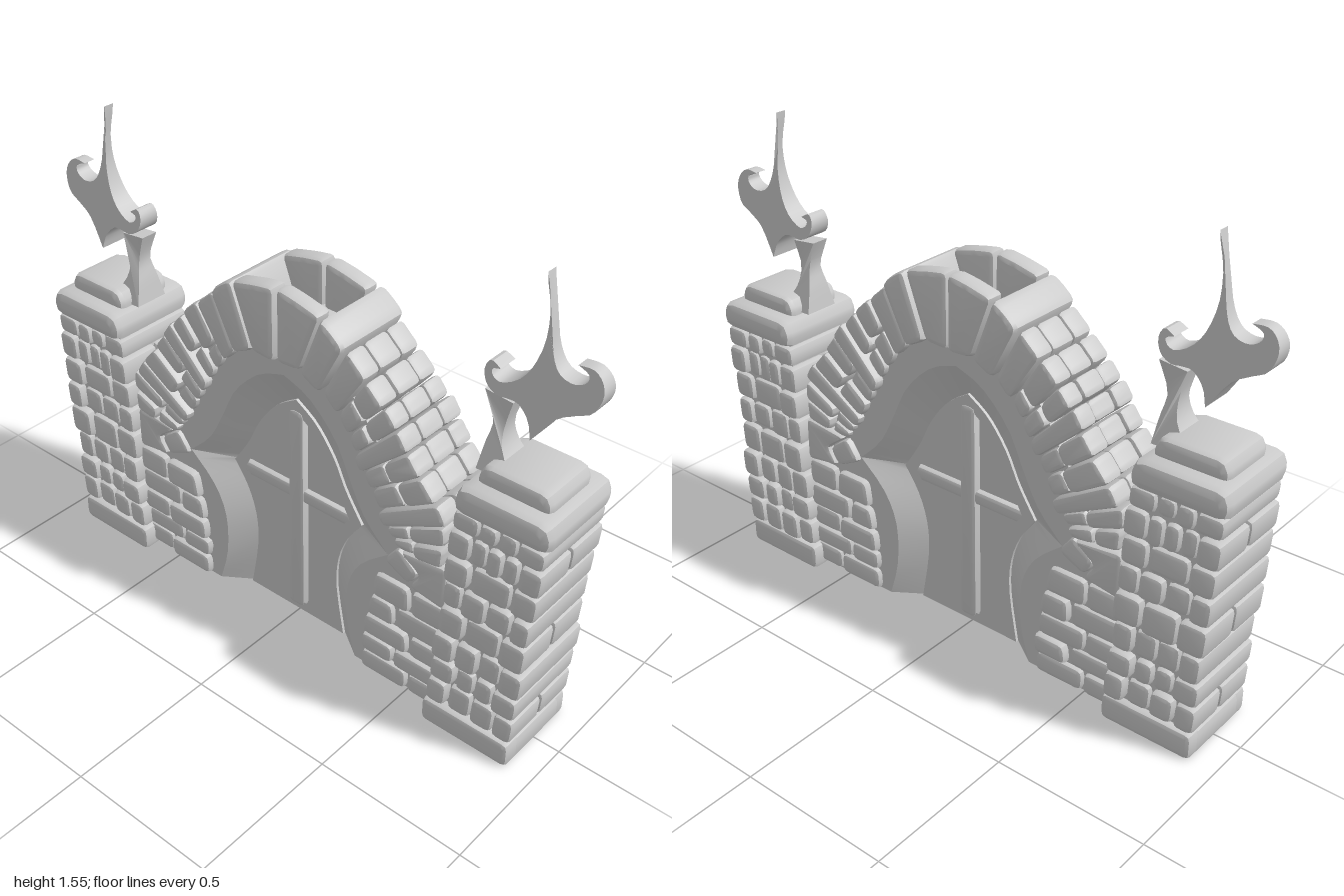
import * as THREE from 'three';
import { toCreasedNormals } from 'three/addons/utils/BufferGeometryUtils.js';

const stoneMat = new THREE.MeshStandardMaterial({ color: 0xcccccc });
const thinMat = new THREE.MeshStandardMaterial({ color: 0xcccccc, side: THREE.DoubleSide });
const V = (p) => new THREE.Vector2(p[0], p[1]);

let seed = 7;
const jitter = (a) => {
  seed = (seed * 16807) % 2147483647;
  return (seed / 2147483647 - 0.5) * 2 * a;
};

function add(parent, name, geo, mat = stoneMat, crease = 0.7) {
  const mesh = new THREE.Mesh(toCreasedNormals(geo, crease), mat);
  mesh.name = name;
  parent.add(mesh);
  return mesh;
}

function group(parent, name) {
  const g = new THREE.Group();
  g.name = name;
  parent.add(g);
  return g;
}

// Pillow-edged stone: a polygon in x/y with rounded corners, between z0 and z1
function stone(parent, name, pts, z0, z1, s = 1, b = 0.014, r = 0.02) {
  const c = pts.reduce((m, p) => m.add(V(p)), new THREE.Vector2()).divideScalar(pts.length);
  const q = pts.map((p) => {
    const v = V(p), d = v.clone().sub(c);
    v.sub(d.setLength(0.004));
    return v.set(v.x * s, v.y);
  });
  const shape = new THREE.Shape();
  q.forEach((p, i) => {
    const toward = (o) => o.clone().sub(p).setLength(Math.min(r, o.distanceTo(p) * 0.4)).add(p);
    const a = toward(q[(i + q.length - 1) % q.length]);
    const e = toward(q[(i + 1) % q.length]);
    if (i) shape.lineTo(a.x, a.y); else shape.moveTo(a.x, a.y);
    shape.quadraticCurveTo(p.x, p.y, e.x, e.y);
  });
  const geo = new THREE.ExtrudeGeometry(shape, {
    depth: z1 - z0 - 2 * b, bevelThickness: b, bevelSize: b, bevelOffset: -b,
    bevelSegments: 2, curveSegments: 2,
  });
  add(parent, name, geo.translate(0, 0, z0 + b));
}

// The same stone on the front and the back
function stonePair(parent, name, pts, z0, z1, s, b) {
  stone(parent, name, pts, z0, z1 + jitter(0.006), s, b);
  stone(parent, name, pts, -z1 + jitter(0.006), -z0, s, b);
}

const spline = (pts, n) => new THREE.SplineCurve(pts.map(V)).getPoints(n);

// Symmetric arched outline: head from peak to shoulder, leg from shoulder to ground
function archOutline(head, leg) {
  const half = [...spline(head, 14), ...spline(leg, 12).slice(1)];
  return [...half.slice(1).reverse().map((p) => new THREE.Vector2(-p.x, p.y)), ...half];
}

const recess = archOutline(
  [[0, 0.96], [0.1, 0.92], [0.2, 0.82], [0.26, 0.7], [0.32, 0.59], [0.41, 0.5]],
  [[0.41, 0.5], [0.31, 0.41], [0.26, 0.3], [0.26, 0.15], [0.295, 0.02]]);
const doorEdge = archOutline(
  [[0, 0.845], [0.08, 0.79], [0.15, 0.7], [0.2, 0.6], [0.265, 0.5]],
  [[0.265, 0.5], [0.21, 0.42], [0.175, 0.32], [0.17, 0.2], [0.2, 0.02]]);
const paneEdge = archOutline(
  [[0, 0.8], [0.06, 0.76], [0.12, 0.68], [0.165, 0.59], [0.215, 0.5]],
  [[0.215, 0.5], [0.165, 0.42], [0.135, 0.32], [0.13, 0.2], [0.15, 0.055]]);

// Matching outer and inner edges of the arch stones
const archOut = new THREE.SplineCurve([[0, 1.27], [0.17, 1.235], [0.29, 1.14], [0.42, 1.02],
  [0.515, 0.89], [0.63, 0.74], [0.635, 0.58]].map(V));
const archIn = new THREE.SplineCurve([[0, 1.015], [0.09, 1.02], [0.19, 0.96], [0.27, 0.85],
  [0.33, 0.74], [0.4, 0.62], [0.45, 0.555]].map(V));
const onArch = (t, k) => archIn.getPoint(t / 6).lerp(archOut.getPoint(t / 6), k).toArray();

function slab(parent, name, shape, half) {
  const geo = new THREE.ExtrudeGeometry(shape, { depth: half * 2, bevelEnabled: false });
  return add(parent, name, geo.translate(0, 0, -half), stoneMat, 0.5);
}

function buildWall(root) {
  const g = group(root, 'doorway');
  // Plaster wall behind the stones
  const half = [];
  for (let i = 0; i <= 24; i++) half.push(V(onArch(i / 4, 0.4)));
  half.push(V([0.6, 0.45]), V([0.6, 0.02]));
  const outer = [...half.slice(1).reverse().map((p) => new THREE.Vector2(-p.x, p.y)), ...half];
  slab(g, 'plasterWall', new THREE.Shape([...outer, ...recess.slice().reverse()]), 0.1);

  // Sloping reveals, front and back
  const pos = [];
  for (const z of [1, -1]) {
    for (let i = 0; i < recess.length - 1; i++) {
      const a = [recess[i].x, recess[i].y, 0.1 * z], b = [recess[i + 1].x, recess[i + 1].y, 0.1 * z];
      const c = [doorEdge[i + 1].x, doorEdge[i + 1].y, 0.035 * z], d = [doorEdge[i].x, doorEdge[i].y, 0.035 * z];
      pos.push(...(z > 0 ? [a, b, c, a, c, d] : [a, c, b, a, d, c]).flat());
    }
  }
  const reveal = new THREE.BufferGeometry();
  reveal.setAttribute('position', new THREE.Float32BufferAttribute(pos, 3));
  add(g, 'reveal', reveal, thinMat, 0.6);

  // Door with raised frame and cross bars
  slab(g, 'doorPanel', new THREE.Shape(doorEdge), 0.025);
  const frame = new THREE.Shape(doorEdge);
  frame.holes.push(new THREE.Path(paneEdge));
  slab(g, 'doorFrame', frame, 0.045);
  stone(g, 'uprightBar', [[-0.035, 0.03], [0.035, 0.03], [0.03, 0.81], [-0.03, 0.81]], -0.05, 0.05, 1, 0.012);
  stone(g, 'crossBar', [[-0.235, 0.465], [0.235, 0.465], [0.235, 0.515], [-0.235, 0.515]], -0.045, 0.045, 1, 0.012);
}

function buildArch(root, s) {
  const g = group(root, 'archStones');
  const cuts = [0, 1, 1.75, 2.35, 2.85, 3.3, 3.75, 4.2, 4.65, 5.05, 5.45, 6];
  const block = (a, b, k0, k1) =>
    [onArch(a, k0), onArch(b, k0), onArch(b, k1), onArch((a + b) / 2, k1), onArch(a, k1)];
  cuts.slice(0, -1).forEach((a, i) => {
    const b = cuts[i + 1];
    if (i === 0) {
      // Crown stones leave a hollow between front and back
      stonePair(g, 'crownStone', block(a, b, 0, 1), 0.075, 0.143, s, 0.018);
    } else if (i === 1) {
      stone(g, 'shoulderStone', block(a, b, 0, 1), -0.143, 0.143, s, 0.018);
    } else {
      const top = 0.97 + jitter(0.03), split = i % 3 === 2 ? 0 : 0.42 + jitter(0.1);
      if (split) stonePair(g, 'innerArchStone', block(a, b, 0.02, split), 0.04, 0.122, s);
      stonePair(g, 'outerArchStone', block(a, b, split, top), 0.05, 0.13, s);
      stone(g, 'topArchStone', block(a, b, 0.35, top + jitter(0.03)), -0.05, 0.05, s);
    }
  });

  // Springer stones and coursed bricks beside the door
  const b = group(root, 'sideBricks');
  stonePair(b, 'springerStone', [[0.4, 0.49], [0.455, 0.565], [0.54, 0.5], [0.5, 0.44]], 0.04, 0.12, s);
  stonePair(b, 'springerStone', [[0.46, 0.56], [0.64, 0.58], [0.64, 0.42], [0.5, 0.44], [0.54, 0.5]], 0.04, 0.125, s);
  const rows = [0.02, 0.095, 0.165, 0.245, 0.33, 0.425];
  const edge = (y) => 0.33 + 0.04 * Math.max(0, (y - 0.2) / 0.22) + jitter(0.006);
  for (let i = 0; i < 5; i++) {
    const y0 = rows[i], y1 = rows[i + 1], m = i % 2 ? 0.455 : 0.51;
    stonePair(b, 'sideBrick', [[edge(y0), y0], [m, y0], [m + jitter(0.01), y1], [edge(y1), y1]], 0.04, 0.124, s);
    stonePair(b, 'sideBrick', [[m, y0], [0.64, y0], [0.64, y1], [m, y1]], 0.04, 0.118, s);
  }
}

function buildPillar(root, s) {
  const g = group(root, 'pillar');
  const left = (y) => 0.612 + 0.055 * y, right = (y) => 0.905 + 0.075 * y;
  const quad = (a, b, y0, y1) => {
    const x = (y, k) => THREE.MathUtils.lerp(left(y), right(y), k);
    return [[x(y0, a), y0], [x(y0, b), y0], [x(y1, b), y1], [x(y1, a), y1]];
  };
  // Hollow leaning core, open below
  const core = new THREE.CylinderGeometry(0.19, 0.175, 0.86, 4, 1, true).rotateY(Math.PI / 4).translate(0, 0.45, 0);
  const p = core.attributes.position;
  for (let i = 0; i < p.count; i++) p.setX(i, s * (p.getX(i) + (left(p.getY(i)) + right(p.getY(i))) / 2));
  add(g, 'pillarCore', core, thinMat, 0.3);

  // Foot ring
  stonePair(g, 'footStone', [[0.6, 0], [0.92, 0], [0.92, 0.09], [0.6, 0.09]], 0.09, 0.157, s);
  for (const x of [0.6, 0.85])
    stone(g, 'footStone', [[x, 0], [x + 0.07, 0], [x + 0.07, 0.09], [x, 0.09]], -0.12, 0.12, s);

  // Courses: corner stones on both sides with bricks between
  const rows = [0.09, 0.185, 0.27, 0.37, 0.475, 0.57, 0.665, 0.76, 0.83];
  const middles = [2, 2, 2, 1, 2, 1, 3, 2];
  for (let i = 0; i < 8; i++) {
    const y0 = rows[i], y1 = rows[i + 1], w = [0.22, 0.28, 0.24, 0.3][i % 4], out = jitter(0.02);
    for (const [a, b] of [[-0.01 - out, w], [1 - w, 1.01 + out]]) {
      const pts = quad(a, b, y0, y1);
      if (i % 3 === 0) {
        stonePair(g, 'cornerStone', pts, 0.002, 0.155, s);
      } else {
        stone(g, 'cornerStone', pts, -0.155 + jitter(0.007), 0.155 + jitter(0.007), s);
      }
    }
    const n = middles[i], step = (1 - 2 * w) / n;
    for (let k = 0; k < n; k++)
      stonePair(g, 'faceBrick', quad(w + k * step, w + (k + 1) * step, y0 + jitter(0.006), y1), 0.08, 0.15, s);
  }

  // Cap and top slab
  stone(g, 'pillarCap', [[0.652, 0.825], [0.982, 0.825], [0.975, 0.92], [0.665, 0.92]], -0.162, 0.162, s, 0.028, 0.04);
  stone(g, 'topSlab', [[0.685, 0.9], [0.945, 0.9], [0.93, 0.975], [0.705, 0.975]], -0.105, 0.105, s, 0.022, 0.03);
}

// Flat outline whose half thickness changes with height, given as [y, half] stops
function tapered(parent, name, pts, stops, s) {
  const shape = new THREE.Shape(pts.map((v) => new THREE.Vector2(v.x * s, v.y)));
  const geo = new THREE.ExtrudeGeometry(shape, { depth: 2, bevelEnabled: false }).translate(0, 0, -1);
  const p = geo.attributes.position;
  for (let i = 0; i < p.count; i++) {
    const y = p.getY(i);
    let k = 0;
    while (k < stops.length - 2 && y > stops[k + 1][0]) k++;
    const [y0, h0] = stops[k], [y1, h1] = stops[k + 1];
    p.setZ(i, p.getZ(i) * THREE.MathUtils.mapLinear(THREE.MathUtils.clamp(y, y0, y1), y0, y1, h0, h1));
  }
  add(parent, name, geo, stoneMat, 0.6);
}

function buildFinial(root, s) {
  const g = group(root, 'finial');
  const post = [...spline([[0.79, 0.92], [0.735, 0.99], [0.722, 1.06], [0.745, 1.15]], 8),
    ...spline([[0.655, 1.16], [0.685, 1.07], [0.675, 1.0], [0.665, 0.92]], 8)];
  tapered(g, 'finialPost', post, [[0.92, 0.06], [1.07, 0.022], [1.16, 0.03]], s);

  // Flame with a tall spike and two curled horns
  const flame = [
    [[0.8, 1.555], [0.822, 1.45], [0.838, 1.35], [0.865, 1.295], [0.91, 1.28], [0.945, 1.295], [0.95, 1.32], [0.915, 1.335]],
    [[0.915, 1.335], [0.96, 1.338], [0.99, 1.315], [1, 1.275], [0.98, 1.225], [0.935, 1.2], [0.88, 1.165], [0.82, 1.08]],
    [[0.82, 1.08], [0.805, 1.13], [0.77, 1.165], [0.735, 1.168], [0.7, 1.165], [0.665, 1.185], [0.652, 1.225], [0.668, 1.255], [0.7, 1.24]],
    [[0.7, 1.24], [0.675, 1.232], [0.682, 1.212], [0.71, 1.205], [0.76, 1.235], [0.795, 1.29], [0.815, 1.37], [0.812, 1.46], [0.797, 1.555]],
  ].flatMap((c) => spline(c, 20).slice(0, -1));
  tapered(g, 'finialFlame', flame, [[1.08, 0.055], [1.34, 0.02], [1.45, 0.008], [1.555, 0.018]], s);
}

export function createModel() {
  const root = new THREE.Group();
  root.name = 'stoneGateway';
  buildWall(root);
  for (const s of [1, -1]) {
    buildArch(root, s);
    buildPillar(root, s);
    buildFinial(root, s);
  }
  return root;
}
